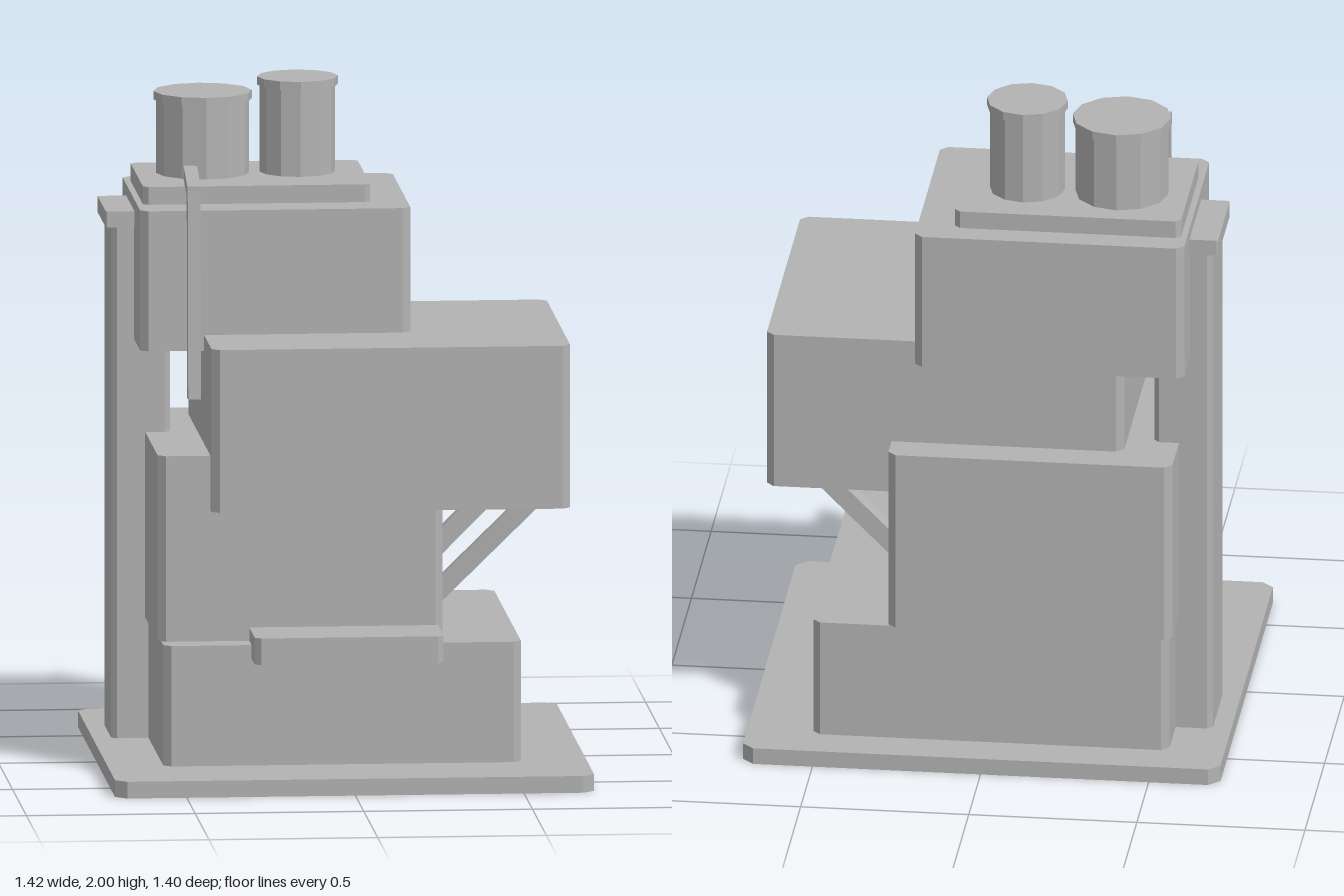
import * as THREE from 'three';

const grey = new THREE.MeshStandardMaterial({ color: 0xb3b3b3, flatShading: true });
grey.name = 'plain grey';

export function createModel() {
  const model = new THREE.Group();
  model.name = 'stackedBuilding';

  const add = (name, geometry) => {
    const mesh = new THREE.Mesh(geometry, grey);
    mesh.name = name;
    model.add(mesh);
    return mesh;
  };

  // Upright block whose four vertical edges are cut off by c
  const block = (name, [x0, x1], [y0, y1], [z0, z1], c = 0.023) => {
    const shape = new THREE.Shape([
      [x0 + c, -z1], [x1 - c, -z1], [x1, -z1 + c], [x1, -z0 - c],
      [x1 - c, -z0], [x0 + c, -z0], [x0, -z0 - c], [x0, -z1 + c],
    ].map(([x, y]) => new THREE.Vector2(x, y)));
    const geometry = new THREE.ExtrudeGeometry(shape, { depth: y1 - y0, bevelEnabled: false });
    geometry.rotateX(-Math.PI / 2).translate(0, y0, 0);
    return add(name, geometry);
  };

  // Square bar between two points
  const bar = (name, from, to, width) => {
    const a = new THREE.Vector3(...from);
    const b = new THREE.Vector3(...to);
    const mesh = add(name, new THREE.BoxGeometry(width, width, a.distanceTo(b)));
    mesh.position.copy(a).lerp(b, 0.5);
    mesh.lookAt(b);
    return mesh;
  };

  // Ground plate and stacked storeys
  block('basePlate', [-0.71, 0.71], [0, 0.05], [-0.7, 0.7], 0.034);
  block('groundStorey', [-0.545, 0.515], [0.05, 0.41], [-0.573, 0.42]);
  block('secondStorey', [-0.555, 0.29], [0.41, 0.965], [-0.585, 0.338]);
  block('overhangingStorey', [-0.4, 0.663], [0.803, 1.29], [-0.483, 0.4]);
  block('topStorey', [-0.588, 0.213], [1.243, 1.662], [-0.562, 0.11]);
  block('roofSlab', [-0.57, 0.103], [1.662, 1.715], [-0.483, -0.015], 0.016);

  // Ledge over the front entrance
  block('entranceLedge', [-0.285, 0.275], [0.37, 0.45], [0.3, 0.552], 0.018);

  // Tall duct on the right side with its cap
  block('sideDuct', [-0.655, -0.48], [0.05, 1.58], [-0.398, -0.127], 0.016);
  block('ductCap', [-0.673, -0.462], [1.58, 1.628], [-0.412, -0.113], 0.004);

  // Twelve-sided roof tanks with lids
  const tank = (name, x, radius, top) => {
    const body = add(name, new THREE.CylinderGeometry(radius - 0.008, radius - 0.008, top - 1.735, 12));
    body.position.set(x, (1.715 + top - 0.02) / 2, -0.283);
    const lid = add(name + 'Lid', new THREE.CylinderGeometry(radius, radius, 0.025, 12));
    lid.position.set(x, top - 0.0125, -0.283);
  };
  tank('wideTank', -0.372, 0.146, 1.96);
  tank('tallTank', -0.091, 0.12, 2);

  // Pipe from the wide tank, out over the roof and down the front
  bar('roofPipe', [-0.412, 1.735, -0.283], [-0.44, 1.735, 0.235], 0.04);
  const drop = bar('dropPipe', [-0.44, 1.74, 0.217], [-0.44, 1.12, 0.237], 0.038);
  drop.name = 'dropPipe';

  // Diagonal struts under the overhang
  bar('frontStrut', [0.23, 0.495, 0.278], [0.56, 0.825, 0.313], 0.055);
  bar('backStrut', [0.23, 0.495, -0.312], [0.56, 0.825, -0.312], 0.055);

  return model;
}
